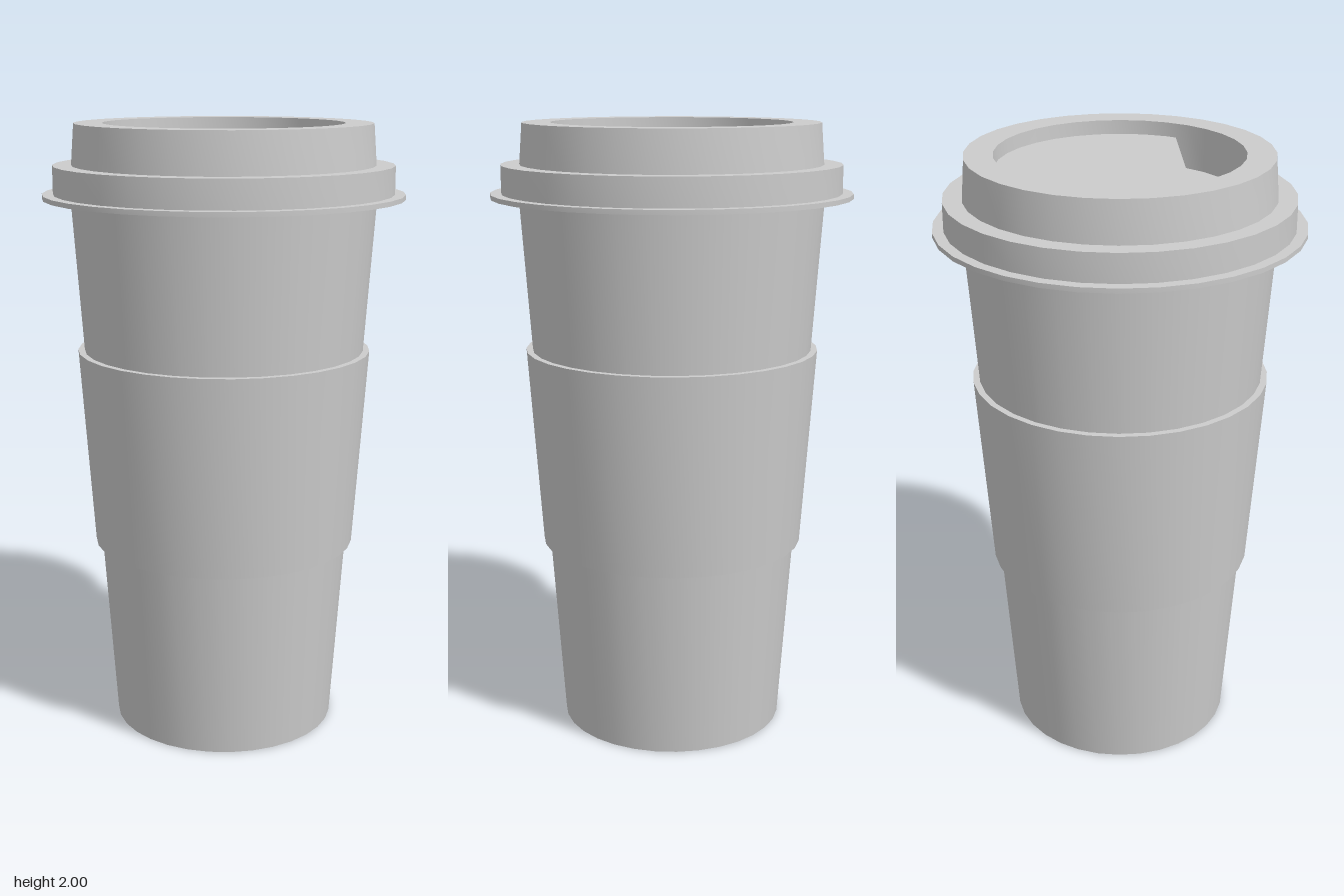
import * as THREE from 'three';
import { toCreasedNormals } from 'three/addons/utils/BufferGeometryUtils.js';

const SIDES = 32;
const material = new THREE.MeshStandardMaterial({ color: 0xcccccc });

// Turned part from [radius, height] pairs, listed from the bottom up the outside
function turned(name, profile) {
  const points = profile.map(([r, y]) => new THREE.Vector2(r, y));
  const mesh = new THREE.Mesh(toCreasedNormals(new THREE.LatheGeometry(points, SIDES), 0.6), material);
  mesh.name = name;
  return mesh;
}

export function createModel() {
  const group = new THREE.Group();
  group.name = 'takeawayCup';

  const recessRadius = 0.385, floorY = 1.86, stepY = 1.955, slopeZ = -0.04;

  // Tapered cup with a flat base
  group.add(turned('cupBody', [[0, 0], [0.368, 0], [0.49, 1.77]]));

  // Sleeve standing slightly proud of the cup
  group.add(turned('sleeve', [[0.405, 0.625], [0.432, 0.625], [0.477, 1.275], [0.45, 1.275]]));

  // Lid: thin lip, thick band, raised crown and a sunken drinking well
  group.add(turned('lid', [
    [0.47, 1.765], [0.58, 1.765], [0.58, 1.78], [0.545, 1.78], [0.545, 1.87],
    [0.485, 1.87], [0.475, 2], [recessRadius, 2], [recessRadius - 0.003, floorY], [0, floorY],
  ]));

  // Raised rear half of the well, its front face sloping back
  const half = new THREE.Shape();
  half.absarc(0, 0, recessRadius, 0, Math.PI);
  const step = new THREE.ExtrudeGeometry(half, { depth: stepY - floorY, bevelEnabled: false, curveSegments: SIDES / 4 });
  step.rotateX(-Math.PI / 2);
  const p = step.attributes.position;
  for (let i = 0; i < p.count; i++) {
    if (p.getY(i) > 0.01 && p.getZ(i) > -0.01) p.setZ(i, slopeZ);
  }
  const rearStep = new THREE.Mesh(toCreasedNormals(step, 0.6), material);
  rearStep.name = 'lidRearStep';
  rearStep.position.y = floorY;
  group.add(rearStep);

  return group;
}
